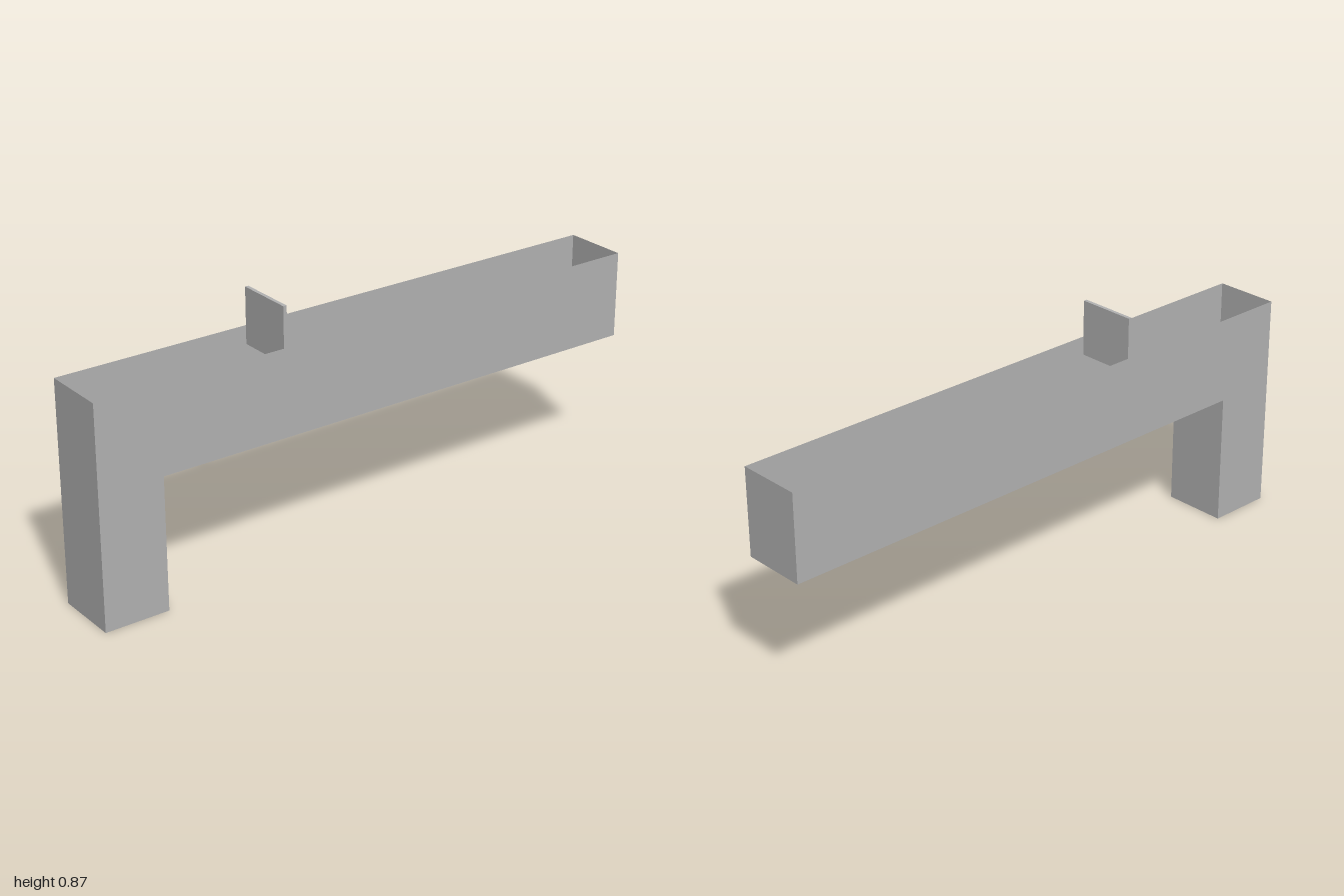
import * as THREE from 'three';

const grey = new THREE.MeshStandardMaterial({ color: 0xb2b2b2, side: THREE.DoubleSide });
grey.name = 'grey';
const black = new THREE.MeshStandardMaterial({ color: 0x000000, side: THREE.DoubleSide });
black.name = 'black';

const HALF = 0.11; // half depth of the channel
const TOP = 0.74, FLOOR = 0.447, LEG = -0.78;

export function createModel() {
  const group = new THREE.Group();
  const add = (name, geometry, material, x, y, z) => {
    const mesh = new THREE.Mesh(geometry, material);
    mesh.name = name;
    mesh.position.set(x, y, z);
    group.add(mesh);
    return mesh;
  };

  // L-shaped side walls of the open channel
  const profile = new THREE.Shape([
    [-1, 0], [LEG, 0], [LEG, FLOOR], [1, FLOOR], [1, TOP], [-1, TOP],
  ].map(([x, y]) => new THREE.Vector2(x, y)));
  add('frontWall', new THREE.ShapeGeometry(profile), grey, 0, 0, HALF);
  const back = new THREE.ShapeGeometry(profile.clone());
  add('backWall', back.scale(-1, 1, 1).rotateY(Math.PI), grey, 0, 0, -HALF);

  // Thin upright walls closing the ends and the inside of the leg
  const crossWall = (name, x, y0, y1, facing) => {
    const geometry = new THREE.PlaneGeometry(2 * HALF, y1 - y0).rotateY(facing * Math.PI / 2);
    add(name, geometry, grey, x, (y0 + y1) / 2, 0);
  };
  crossWall('legEndWall', -1, 0, TOP, -1);
  crossWall('legInnerWall', LEG, 0, FLOOR, 1);
  crossWall('farEndWall', 1, FLOOR, TOP, 1);

  // Channel floor and the black bottom of the leg
  const flat = (name, x0, x1, y, material) => {
    const geometry = new THREE.PlaneGeometry(x1 - x0, 2 * HALF).rotateX(Math.PI / 2);
    add(name, geometry, material, (x0 + x1) / 2, y, 0);
  };
  flat('channelFloor', LEG, 1, FLOOR, grey);
  flat('legBottom', -1, LEG, 0, black);

  // Upright gate plate standing in the channel
  add('gate', new THREE.BoxGeometry(0.012, 0.187, 0.2), grey, -0.336, 0.7765, 0);

  return group;
}
